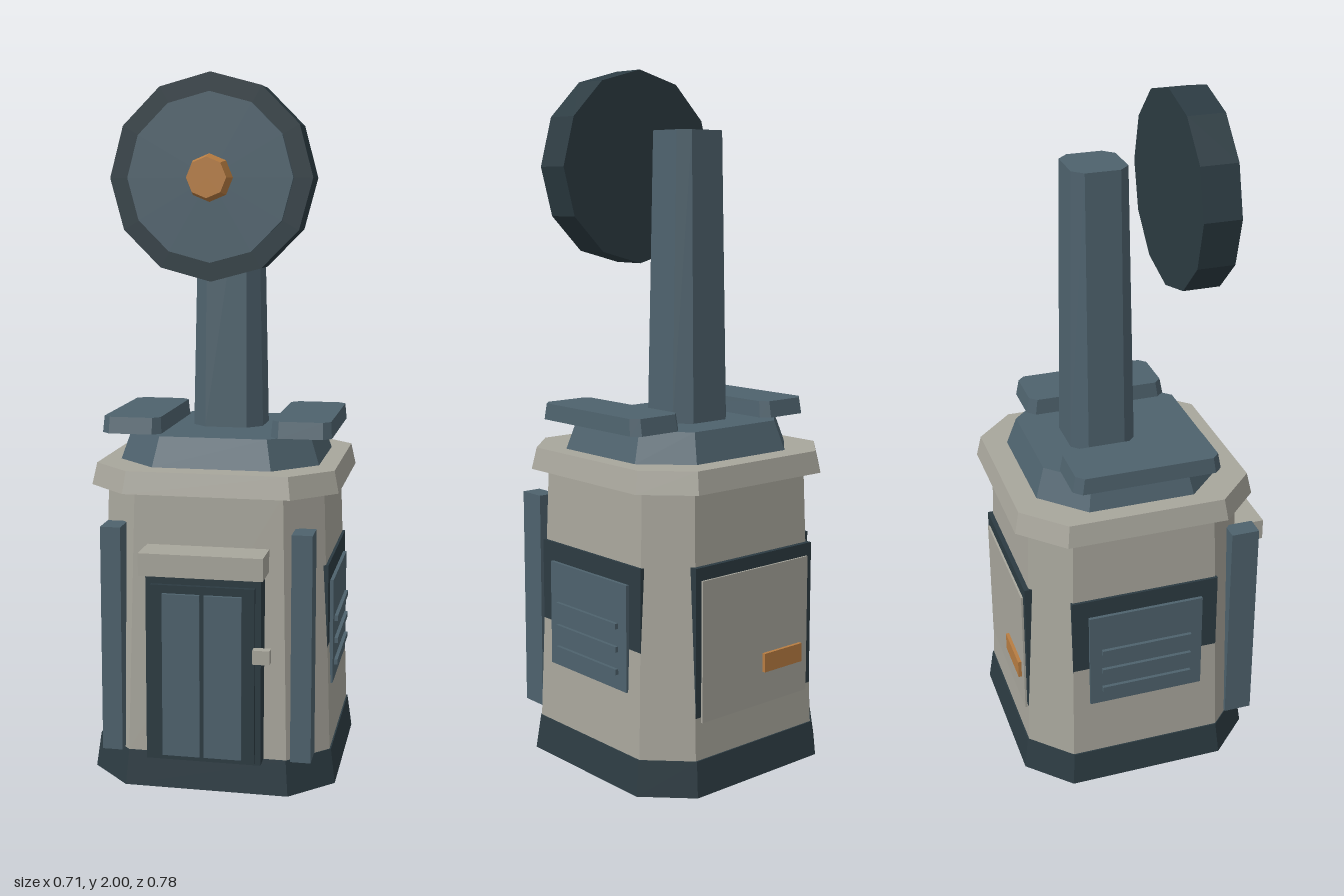
import * as THREE from 'three';

const flat = (name, color) => {
  const m = new THREE.MeshStandardMaterial({ color, flatShading: true });
  m.name = name;
  return m;
};

// Octagonal frustum: each end is { x, z, c } = half width, half depth, corner cut
function chamferedBlock(bottom, top, height) {
  const ring = ({ x, z, c }, y) => [
    [x, z - c], [x, c - z], [x - c, -z], [c - x, -z],
    [-x, c - z], [-x, z - c], [c - x, z], [x - c, z],
  ].map(([px, pz]) => [px, y, pz]);
  const a = ring(bottom, 0), b = ring(top, height), pos = [];
  const tri = (...pts) => pts.forEach((p) => pos.push(...p));
  for (let i = 0; i < 8; i++) {
    const j = (i + 1) % 8;
    tri(a[i], a[j], b[j]);
    tri(a[i], b[j], b[i]);
    if (i > 0 && i < 7) {
      tri(b[0], b[i], b[j]);
      tri(a[0], a[j], a[i]);
    }
  }
  const g = new THREE.BufferGeometry();
  g.setAttribute('position', new THREE.Float32BufferAttribute(pos, 3));
  g.computeVertexNormals();
  return g;
}

export function createModel() {
  const stone = flat('stone', 0xa8a69c);
  const steel = flat('blueSteel', 0x4e626d);
  const dark = flat('darkSteel', 0x2c3b42);
  const amber = flat('amber', 0xb87d42);

  const model = new THREE.Group();
  model.name = 'tower';
  const CZ = -0.037; // centre line of the tower body

  const add = (name, geometry, material, x = 0, y = 0, z = 0) => {
    const mesh = new THREE.Mesh(geometry, material);
    mesh.name = name;
    mesh.position.set(x, y, z);
    model.add(mesh);
    return mesh;
  };
  const block = (name, mat, bottom, top, y0, y1, x = 0, z = CZ) =>
    add(name, chamferedBlock(bottom, top, y1 - y0), mat, x, y0, z);
  // Box given by its limits on each axis
  const box = (name, mat, [x0, x1], [y0, y1], [z0, z1]) =>
    add(name, new THREE.BoxGeometry(x1 - x0, y1 - y0, z1 - z0), mat,
      (x0 + x1) / 2, (y0 + y1) / 2, (z0 + z1) / 2);
  const sq = (h, c) => ({ x: h, z: h, c });

  // Tower body
  block('base', dark, sq(0.355, 0.12), sq(0.342, 0.115), 0, 0.1);
  block('walls', stone, sq(0.338, 0.11), sq(0.313, 0.102), 0.1, 0.855);
  block('cornice', stone, sq(0.356, 0.12), sq(0.343, 0.115), 0.852, 0.915);
  block('roof', steel, { x: 0.29, z: 0.275, c: 0.12 }, { x: 0.262, z: 0.248, c: 0.108 }, 0.915, 1.0);
  block('column', steel, { x: 0.104, z: 0.096, c: 0.042 }, { x: 0.086, z: 0.08, c: 0.03 }, 1.0, 1.82, 0, -0.082);

  // Paired roof slabs, corner pillars and side vents
  for (const s of [-1, 1]) {
    const mirror = (a, b) => (s > 0 ? [a, b] : [-b, -a]);
    block('roofSlab', steel, { x: 0.0865, z: 0.217, c: 0.023 }, { x: 0.083, z: 0.208, c: 0.021 },
      1.0, 1.047, s * 0.245, -0.028);
    box('cornerPillar', steel, mirror(0.242, 0.3), [0.105, 0.757], [0.238, 0.322]);
    box('ventFrame', dark, mirror(0.3, 0.328), [0.28, 0.64], [CZ - 0.222, CZ + 0.222]);
    box('ventPanel', steel, mirror(0.31, 0.338), [0.278, 0.585], [CZ - 0.173, CZ + 0.173]);
    for (const y of [0.33, 0.395, 0.462]) {
      box('ventLouvre', steel, mirror(0.33, 0.348), [y - 0.008, y + 0.008], [CZ - 0.137, CZ + 0.137]);
    }
    box('doorPanel', steel, mirror(0.006, 0.112), [0.12, 0.587], [0.35, 0.374]);
  }

  // Front door
  box('doorFrame', dark, [-0.163, 0.163], [0.1, 0.64], [0.25, 0.352]);
  box('doorBacking', dark, [-0.147, 0.147], [0.108, 0.61], [0.34, 0.364]);
  box('doorCanopy', stone, [-0.174, 0.174], [0.64, 0.704], [0.25, 0.391]);
  box('doorKnob', stone, [0.145, 0.193], [0.405, 0.445], [0.362, 0.388]);

  // Back hatch
  box('hatchFrame', dark, [-0.225, 0.225], [0.22, 0.645], [-0.371, -0.33]);
  box('hatchPanel', stone, [-0.205, 0.205], [0.205, 0.608], [-0.377, -0.34]);
  box('hatchHandle', amber, [-0.175, -0.025], [0.3, 0.355], [-0.387, -0.37]);

  // Round head, facing forward
  const disc = (name, mat, rBack, rFront, sides, z0, z1) =>
    add(name, new THREE.CylinderGeometry(rFront, rBack, z1 - z0, sides).rotateX(Math.PI / 2),
      mat, 0, 1.72, (z0 + z1) / 2);
  disc('headRim', dark, 0.281, 0.281, 12, 0.128, 0.236);
  disc('headFace', steel, 0.229, 0.229, 12, 0.22, 0.25);
  disc('headHub', amber, 0.066, 0.055, 8, 0.245, 0.295);

  return model;
}
